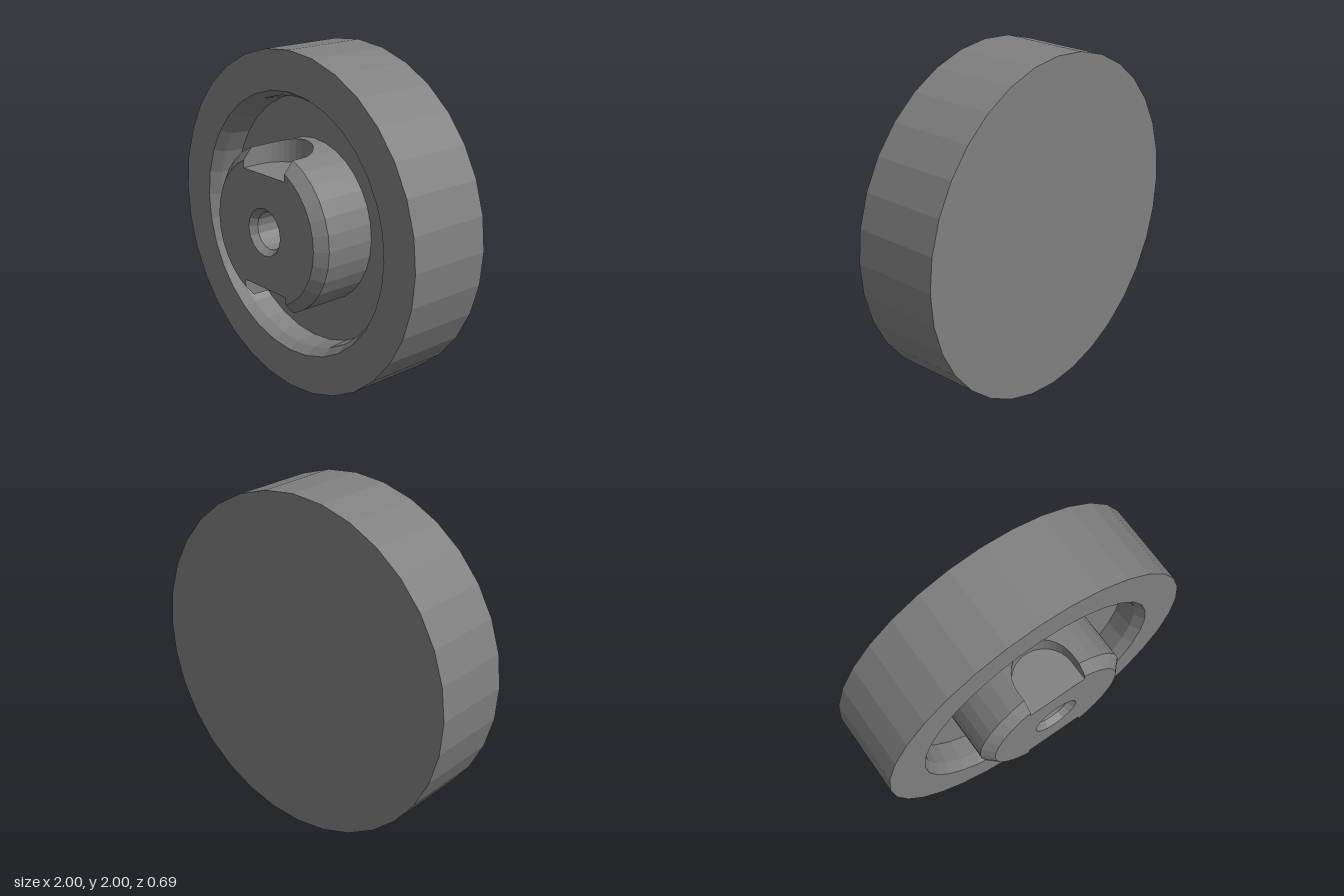
import * as THREE from 'three';

const SIDES = 32, BORE_SIDES = 16;
const FLOOR = -0.015, FRONT = 0.35;          // recess floor and hub face
const HUB_R = 0.48, BORE_R = 0.14;
const SLOT_W = 0.18, SLOT_Y = 0.335, SLOT_Z = 0.228; // half width, inner wall, centre of rounded bottom

function faceted(geometry) {
  const g = geometry.index ? geometry.toNonIndexed() : geometry;
  g.computeVertexNormals();
  return g;
}

// Turned part about the z axis from [radius, z] pairs
function turned(profile, sides) {
  const g = new THREE.LatheGeometry(profile.map(([r, z]) => new THREE.Vector2(r, z)), sides);
  return faceted(g.rotateX(Math.PI / 2));
}

// Hub outline, counter-clockwise, with a slot of half width w at top and bottom
function hubOutline(r, w) {
  const a = Math.acos(w / r), half = [];
  for (let k = -SIDES / 4; k <= SIDES / 4; k++) {
    const t = THREE.MathUtils.clamp((k * 2 * Math.PI) / SIDES, -a, a);
    half.push([r * Math.cos(t), r * Math.sin(t)]);
  }
  half.push([w, SLOT_Y]);
  half.push([-w, SLOT_Y]);
  const other = half.map(([x, y]) => [-x, -y]);
  return [...half, ...other];
}

// Hub walls lofted through the levels [z, radius, slot half width]
function hubWalls(levels) {
  const rings = levels.map(([z, r, w]) => hubOutline(r, w).map(([x, y]) => [x, y, z]));
  const pos = [];
  for (let j = 0; j < rings.length - 1; j++) {
    const lo = rings[j], hi = rings[j + 1], n = lo.length;
    for (let i = 0; i < n; i++) {
      const k = (i + 1) % n;
      pos.push(...lo[i], ...lo[k], ...hi[k], ...lo[i], ...hi[k], ...hi[i]);
    }
  }
  const g = new THREE.BufferGeometry();
  g.setAttribute('position', new THREE.Float32BufferAttribute(pos, 3));
  return faceted(g);
}

export function createModel() {
  const group = new THREE.Group();
  const grey = new THREE.MeshStandardMaterial({ color: 0x808080 });
  grey.name = 'grey';
  const add = (name, geometry) => {
    const mesh = new THREE.Mesh(geometry, grey);
    mesh.name = name;
    mesh.position.y = 1;
    group.add(mesh);
  };

  // Disc with a chamfered recess in its front
  add('wheelBody', turned([
    [0, -0.345], [1, -0.345], [1, 0.17], [0.77, 0.17],
    [0.735, 0.11], [0.725, FLOOR], [HUB_R, FLOOR],
  ], SIDES));

  // Plain foot of the hub, below the slots
  const slotBottom = SLOT_Z - SLOT_W;
  add('hubBase', turned([[HUB_R, FLOOR], [HUB_R, slotBottom]], SIDES));

  // Slotted hub: round-bottomed slots, then the front chamfer
  const levels = [];
  const steps = 8;
  for (let i = 0; i <= steps; i++) {
    const t = (i / steps) * Math.PI / 2;
    levels.push([SLOT_Z - SLOT_W * Math.cos(t), HUB_R, SLOT_W * Math.sin(t)]);
  }
  levels.push([0.29, HUB_R, SLOT_W], [FRONT, 0.42, SLOT_W]);
  add('hubWalls', hubWalls(levels));

  // Hub front face with the bore hole
  const points = hubOutline(0.42, SLOT_W).map(([x, y]) => new THREE.Vector2(x, y));
  const face = new THREE.Shape(points.filter((p, i) => i === 0 || p.distanceTo(points[i - 1]) > 1e-5));
  const hole = [];
  for (let i = 0; i < BORE_SIDES; i++) {
    const t = (-i * 2 * Math.PI) / BORE_SIDES;
    hole.push(new THREE.Vector2(BORE_R * Math.cos(t), BORE_R * Math.sin(t)));
  }
  face.holes.push(new THREE.Path(hole));
  add('hubFace', faceted(new THREE.ShapeGeometry(face).translate(0, 0, FRONT)));

  // Blind bore with a chamfered mouth
  add('bore', turned([[BORE_R, FRONT], [0.11, 0.31], [0.107, 0], [0, 0]], BORE_SIDES));

  return group;
}
